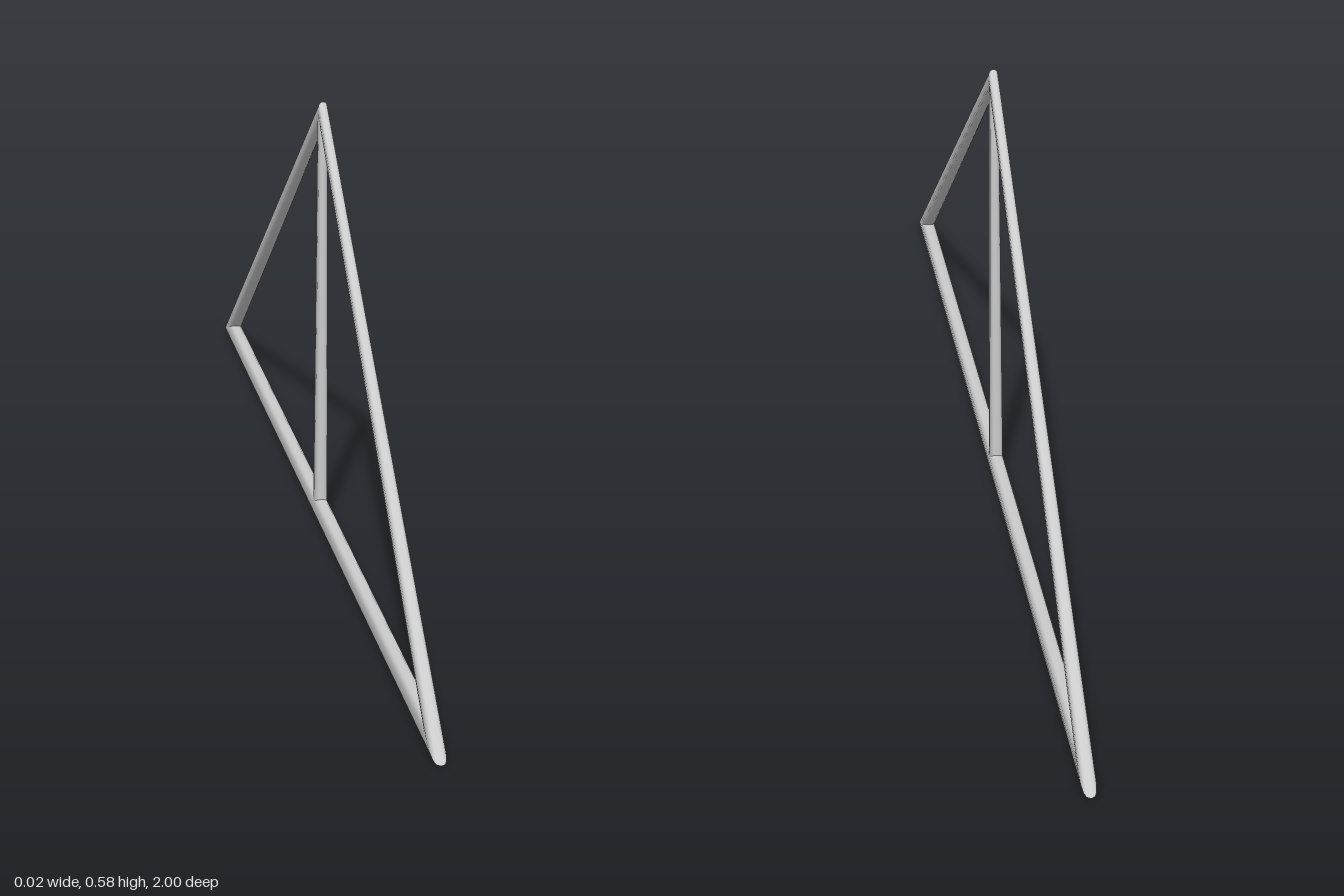
import * as THREE from 'three';

const SIDES = 16;
const material = new THREE.MeshStandardMaterial({ color: 0xcccccc, side: THREE.DoubleSide });

// Each end gives its outer and inner points as [y, z], and its x range.
const frontTip = { outer: [0, 1], inner: [0.027, 0.91], x: [-0.01, 0.01] };
const backTip = { outer: [0, -1], inner: [0.027, -0.91], x: [-0.01, 0.01] };
const apex = { outer: [0.578, 0], inner: [0.551, 0], x: [-0.003, 0.01] };
const postFoot = { outer: [0.02, 0.0135], inner: [0.02, -0.0135], x: [-0.009, 0.009] };
const postHead = { outer: [0.56, 0.0135], inner: [0.56, -0.0135], x: [-0.003, 0.009] };

// Rounded bar between two mitred ends
function bar(name, a, b) {
  const soften = (v) => Math.sign(v) * Math.abs(v) ** 0.7;
  const positions = [];
  const indices = [];
  for (const end of [a, b]) {
    for (let i = 0; i < SIDES; i++) {
      const angle = (i / SIDES) * Math.PI * 2;
      const t = (1 - soften(Math.cos(angle))) / 2;
      const s = (1 + soften(Math.sin(angle))) / 2;
      positions.push(
        THREE.MathUtils.lerp(end.x[0], end.x[1], s),
        THREE.MathUtils.lerp(end.outer[0], end.inner[0], t),
        THREE.MathUtils.lerp(end.outer[1], end.inner[1], t)
      );
    }
  }
  for (let i = 0; i < SIDES; i++) {
    const j = (i + 1) % SIDES;
    indices.push(i, j, SIDES + i, j, SIDES + j, SIDES + i);
  }
  const geometry = new THREE.BufferGeometry();
  geometry.setAttribute('position', new THREE.Float32BufferAttribute(positions, 3));
  geometry.setIndex(indices);
  geometry.computeVertexNormals();
  const mesh = new THREE.Mesh(geometry, material);
  mesh.name = name;
  return mesh;
}

export function createModel() {
  const truss = new THREE.Group();
  truss.name = 'roofTruss';
  truss.add(
    bar('frontRafter', frontTip, apex),
    bar('backRafter', apex, backTip),
    bar('bottomChord', backTip, frontTip),
    bar('kingPost', postFoot, postHead)
  );
  return truss;
}
